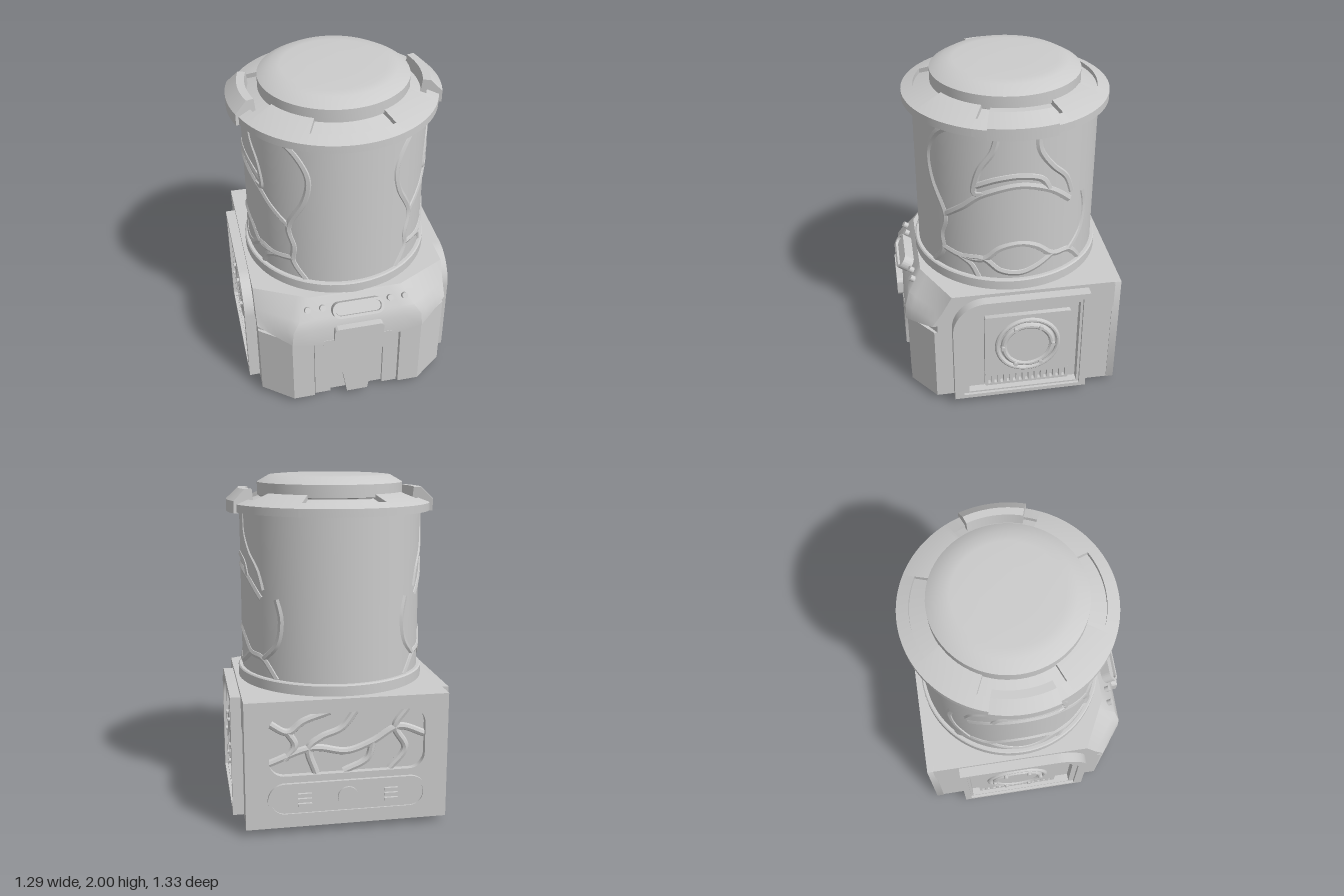
import * as THREE from 'three';
import { mergeGeometries, toCreasedNormals } from 'three/addons/utils/BufferGeometryUtils.js';
import { RoundedBoxGeometry } from 'three/addons/geometries/RoundedBoxGeometry.js';

const CZ = -0.033; // z of the canister axis
const R = 0.537; // canister radius
const V2 = (p) => new THREE.Vector2(p[0], p[1]);

export function createModel() {
  const root = new THREE.Group();
  const material = new THREE.MeshStandardMaterial({ color: 0xcccccc });
  const thin = new THREE.MeshStandardMaterial({ color: 0xcccccc, side: THREE.DoubleSide });

  const add = (name, geo, mat = material) => {
    const mesh = new THREE.Mesh(toCreasedNormals(geo, 0.6), mat);
    mesh.name = name;
    root.add(mesh);
  };
  // Add a part and its mirror image across x
  const pair = (name, geo, mat) => {
    add(name + 'Left', geo.clone(), mat);
    const m = (geo.index ? geo.toNonIndexed() : geo.clone()).scale(-1, 1, 1);
    for (const key of Object.keys(m.attributes)) {
      const a = m.attributes[key];
      const s = a.itemSize;
      for (let i = 0; i < a.count; i += 3) {
        for (let k = 0; k < s; k++) {
          const t = a.array[(i + 1) * s + k];
          a.array[(i + 1) * s + k] = a.array[(i + 2) * s + k];
          a.array[(i + 2) * s + k] = t;
        }
      }
    }
    add(name + 'Right', m, mat);
  };
  const lathe = (pts, seg = 72, start = 0, len = Math.PI * 2) =>
    new THREE.LatheGeometry(pts.map(V2), seg, start, len);
  // Closed slice of a turned profile
  const sector = (pts, start, len) => {
    const cap = (a) => new THREE.ShapeGeometry(new THREE.Shape(pts.map(V2))).rotateY(a - Math.PI / 2);
    return mergeGeometries([lathe([...pts, pts[0]], 20, start, len), cap(start), cap(start + len)])
      .translate(0, 0, CZ);
  };
  const extrude = (shape, depth) =>
    new THREE.ExtrudeGeometry(shape, { depth, bevelEnabled: false, curveSegments: 10 });
  const box = (w, h, d, x, y, z) => new THREE.BoxGeometry(w, h, d).translate(x, y, z);
  const tube = (pts, r, seg = 36) =>
    new THREE.TubeGeometry(new THREE.CatmullRomCurve3(pts), seg, r, 8, false);
  const roundRect = (x0, x1, y0, y1, r) => new THREE.Shape()
    .moveTo(x0 + r, y0).lineTo(x1 - r, y0).absarc(x1 - r, y0 + r, r, -Math.PI / 2, 0)
    .lineTo(x1, y1 - r).absarc(x1 - r, y1 - r, r, 0, Math.PI / 2)
    .lineTo(x0 + r, y1).absarc(x0 + r, y1 - r, r, Math.PI / 2, Math.PI)
    .lineTo(x0, y0 + r).absarc(x0 + r, y0 + r, r, Math.PI, Math.PI * 1.5);
  // Skin stacked rings, lowest first, closing both ends with fans
  const loft = (rings) => {
    const n = rings[0].length;
    const pos = rings.flat(2);
    const idx = [];
    for (let j = 0; j < rings.length - 1; j++) {
      for (let i = 0; i < n; i++) {
        const a = j * n + i, b = j * n + (i + 1) % n;
        idx.push(a, b + n, b, a, a + n, b + n);
      }
    }
    const last = (rings.length - 1) * n, c = rings.length * n;
    pos.push(0, rings[0][0][1], 0, 0, rings[rings.length - 1][0][1], 0);
    for (let i = 0; i < n; i++) {
      const k = (i + 1) % n;
      idx.push(c, i, k, c + 1, last + k, last + i);
    }
    const g = new THREE.BufferGeometry();
    g.setAttribute('position', new THREE.Float32BufferAttribute(pos, 3));
    g.setIndex(idx);
    return g;
  };
  // Base outline: square back, chamfered front corners
  const outline = (w, zc, xf, zf, yAt) => {
    const half = [[w, -0.6], [w, zc]];
    for (let i = 1; i <= 5; i++) half.push([w + (xf - w) * i / 5, zc + (zf - zc) * i / 5]);
    for (let i = 1; i <= 4; i++) half.push([xf * (1 - i / 4), zf]);
    const full = [...half, ...half.slice(0, -1).reverse().map(([x, z]) => [-x, z])];
    return full.map(([x, z]) => [x, yAt(x, z), z]);
  };

  // Base: upper shell with a curved lower edge over a slimmer core
  const edge = (x, z) => (z < 0 ? 0.59 : 0.47 + 0.12 * (x / 0.585) ** 2);
  add('upperShell', loft([
    outline(0.585, 0.49, 0.4, 0.632, edge),
    outline(0.585, 0.47, 0.39, 0.63, () => 0.62),
    outline(0.585, 0.43, 0.35, 0.605, () => 0.68),
    outline(0.585, 0.37, 0.28, 0.525, () => 0.79),
  ]));
  add('baseCore', loft([0.04, 0.6].map((y) => outline(0.58, 0.46, 0.4, 0.585, () => y))));

  // Front: corner wings, recessed slats and the tapering centre keel
  const wing = new THREE.Shape([[0.27, 0.585], [0.27, 0.62], [0.4, 0.62], [0.58, 0.48], [0.58, 0.4], [0.4, 0.55]].map(V2));
  pair('frontWing', extrude(wing, 0.5).rotateX(Math.PI / 2).translate(0, 0.54, 0));
  pair('frontSlat', box(0.095, 0.44, 0.03, 0.215, 0.26, 0.59));
  const keel = new THREE.Shape().moveTo(-0.065, 0.045).lineTo(0.065, 0.045).lineTo(0.09, 0.2)
    .quadraticCurveTo(0.13, 0.38, 0.21, 0.47).lineTo(0.21, 0.52).lineTo(-0.21, 0.52)
    .lineTo(-0.21, 0.47).quadraticCurveTo(-0.13, 0.38, -0.09, 0.2);
  add('keel', extrude(keel, 0.06).translate(0, 0, 0.574));

  // Front controls
  add('frontPlate', extrude(roundRect(-0.15, 0.15, 0.51, 0.627, 0.025), 0.065).translate(0, 0, 0.602));
  const tilt = (g, x, y, z) => g.rotateX(-0.63).translate(x, y, z);
  const bezel = roundRect(-0.155, 0.155, -0.048, 0.048, 0.046);
  bezel.holes.push(roundRect(-0.137, 0.137, -0.032, 0.032, 0.03));
  add('switchBezel', tilt(extrude(bezel, 0.085), 0, 0.7, 0.565));
  add('switchKey', tilt(extrude(roundRect(-0.135, 0.135, -0.03, 0.03, 0.028), 0.07), 0, 0.7, 0.565));
  for (const x of [0.205, 0.295]) {
    pair('button', tilt(new THREE.CylinderGeometry(0.018, 0.02, 0.05, 16).rotateX(Math.PI / 2), x, 0.735, 0.57));
  }

  // Back wall with a window of branching ribs
  const wall = roundRect(-0.585, 0.585, 0.04, 0.79, 0.002);
  wall.holes.push(roundRect(-0.45, 0.45, 0.35, 0.71, 0.09));
  add('backWall', extrude(wall, 0.045).translate(0, 0, -0.636));
  const backRibs = [
    [[-0.45, 0.55], [-0.3, 0.6], [-0.15, 0.52], [0, 0.47], [0.2, 0.5], [0.45, 0.42]],
    [[-0.35, 0.71], [-0.28, 0.6], [-0.34, 0.47], [-0.25, 0.35]],
    [[-0.05, 0.71], [0.03, 0.61], [0.15, 0.56], [0.22, 0.5], [0.18, 0.35]],
    [[0.45, 0.66], [0.34, 0.6], [0.25, 0.66], [0.1, 0.71]],
    [[-0.15, 0.52], [-0.12, 0.42], [0.02, 0.35]],
    [[0.34, 0.6], [0.3, 0.52], [0.36, 0.44]],
  ];
  for (const p of backRibs) add('windowRib', tube(p.map(([x, y]) => new THREE.Vector3(x, y, -0.604)), 0.022));
  // Socket strip under the window
  const strip = roundRect(-0.46, 0.46, 0.11, 0.31, 0.098);
  strip.holes.push(roundRect(-0.44, 0.44, 0.13, 0.29, 0.079));
  add('socketRim', extrude(strip, 0.02).translate(0, 0, -0.655));
  add('socketStrip', extrude(roundRect(-0.445, 0.445, 0.125, 0.295, 0.083), 0.015).translate(0, 0, -0.646));
  add('socketDisc', new THREE.CylinderGeometry(0.06, 0.06, 0.02, 32).rotateX(Math.PI / 2).translate(0, 0.21, -0.648));
  for (const y of [0.18, 0.21, 0.24]) pair('socketBar', box(0.08, 0.018, 0.016, 0.25, y, -0.654));

  // Side panels, drawn with u = -z and then turned outward
  const arch = (u0, u1, v0, v1, r) => new THREE.Shape().moveTo(u0, v0).lineTo(u1, v0).lineTo(u1, v1)
    .lineTo(u0 + r, v1).absarc(u0 + r, v1 - r, r, Math.PI / 2, Math.PI).lineTo(u0, v0);
  const side = (name, shape, x0, x1) =>
    pair(name, extrude(shape, x1 - x0).rotateY(Math.PI / 2).translate(x0, 0, 0));
  const frame = arch(-0.375, 0.44, 0.05, 0.768, 0.2);
  frame.holes.push(arch(-0.32, 0.4, 0.075, 0.73, 0.17));
  side('panelFrame', frame, 0.57, 0.645);
  const step = arch(-0.325, 0.405, 0.07, 0.735, 0.17);
  step.holes.push(arch(-0.285, 0.385, 0.085, 0.7, 0.15));
  side('panelStep', step, 0.57, 0.628);
  const plate = roundRect(-0.185, 0.335, 0.195, 0.635, 0.012);
  side('speakerPlate', plate, 0.57, 0.615);
  const vent = roundRect(-0.185, 0.335, 0.1, 0.19, 0.01);
  for (let i = 0; i < 13; i++) {
    const u = -0.155 + i * 0.0385;
    vent.holes.push(roundRect(u - 0.01, u + 0.01, 0.115, 0.175, 0.004));
  }
  side('vent', vent, 0.57, 0.608);
  const ring = (r, t) => new THREE.TorusGeometry(r, t, 10, 48).rotateY(Math.PI / 2).translate(0.615, 0.41, -0.075);
  pair('speakerOuterRing', ring(0.185, 0.015));
  pair('speakerInnerRing', ring(0.145, 0.02));
  pair('speakerDisc', new THREE.CylinderGeometry(0.14, 0.14, 0.03, 48).rotateZ(Math.PI / 2).translate(0.61, 0.41, -0.075));
  for (let i = 0; i < 6; i++) {
    const a = i * Math.PI / 3;
    pair('speakerBolt', new THREE.CylinderGeometry(0.013, 0.013, 0.04, 12).rotateZ(Math.PI / 2)
      .translate(0.626, 0.41 + 0.152 * Math.sin(a), -0.075 + 0.152 * Math.cos(a)));
  }

  // Feet
  for (const z of [0.395, -0.44]) {
    pair('foot', lathe([[0, 0], [0.1, 0], [0.106, 0.008], [0.1, 0.016], [0.075, 0.02], [0.075, 0.045]], 32).translate(0.43, 0, z));
  }

  // Canister with its collar
  add('collar', lathe([[0.5, 0.78], [0.562, 0.78], [0.562, 0.848], [0.555, 0.855], [0.5, 0.855]]).translate(0, 0, CZ));
  add('canister', lathe([[R, 0.8], [R, 1.8]], 96).translate(0, 0, CZ), thin);

  // Raised vines wrapped on the canister sides, given as [z, y]
  const vines = [
    [[0.32, 1.8], [0.4, 1.72], [0.441, 1.58], [0.43, 1.42], [0.37, 1.22], [0.39, 1.08], [0.385, 0.97], [0.43, 0.85]],
    [[0.37, 1.22], [0.28, 1.31], [0.17, 1.41], [-0.02, 1.47], [-0.2, 1.42], [-0.33, 1.31]],
    [[0.09, 1.8], [0.12, 1.68], [0.19, 1.56], [0.22, 1.42], [0.17, 1.41]],
    [[0.21, 1.46], [0.1, 1.51], [-0.03, 1.53], [-0.15, 1.5], [-0.2, 1.42]],
    [[-0.13, 1.8], [-0.14, 1.68], [-0.21, 1.57], [-0.3, 1.47], [-0.34, 1.36]],
    [[0.385, 0.99], [0.28, 0.97], [0.17, 0.98], [0.08, 1.06], [-0.03, 1.09], [-0.13, 1.06], [-0.23, 0.98], [-0.34, 0.96], [-0.42, 0.85]],
    [[0.28, 0.97], [0.17, 0.98], [0.08, 0.91], [-0.03, 0.89], [-0.13, 0.92], [-0.23, 0.98]],
    [[0.3, 0.97], [0.24, 0.93], [0.2, 0.85]],
    [[-0.34, 0.96], [-0.42, 1.06], [-0.44, 1.2], [-0.42, 1.32]],
  ];
  for (const v of vines) {
    const pts = v.map(([z, y]) => [Math.acos((z - CZ) / R), y]);
    const curve = new THREE.SplineCurve(pts.map(V2));
    const wrapped = curve.getPoints(40).map((p) =>
      new THREE.Vector3(0.52 * Math.sin(p.x), p.y, CZ + 0.52 * Math.cos(p.x)));
    pair('vine', tube(wrapped, 0.027, 48));
  }

  // Lid: four plain and four recessed slices, side clips and the domed cap
  const plain = [[0.3, 1.79], [0.595, 1.79], [0.595, 1.835], [0.42, 1.9], [0.3, 1.9]];
  const recess = [[0.3, 1.79], [0.595, 1.79], [0.595, 1.835], [0.525, 1.861], [0.525, 1.835], [0.42, 1.87], [0.42, 1.9], [0.3, 1.9]];
  const clip = [[0.56, 1.786], [0.613, 1.786], [0.613, 1.855], [0.545, 1.92], [0.5, 1.92], [0.49, 1.83]];
  const w = 0.46;
  for (let i = 0; i < 4; i++) {
    const a = i * Math.PI / 2;
    add('lidRecess', sector(recess, a - w, 2 * w), thin);
    add('lidRim', sector(plain, a + w, Math.PI / 2 - 2 * w), thin);
  }
  pair('lidClip', sector(clip, Math.PI / 2 - 0.315, 0.63), thin);
  add('lidCap', lathe([[0.41, 1.87], [0.43, 1.88], [0.43, 1.952], [0.36, 1.992], [0.3, 1.997], [0.15, 2], [0, 2]]).translate(0, 0, CZ));

  return root;
}
